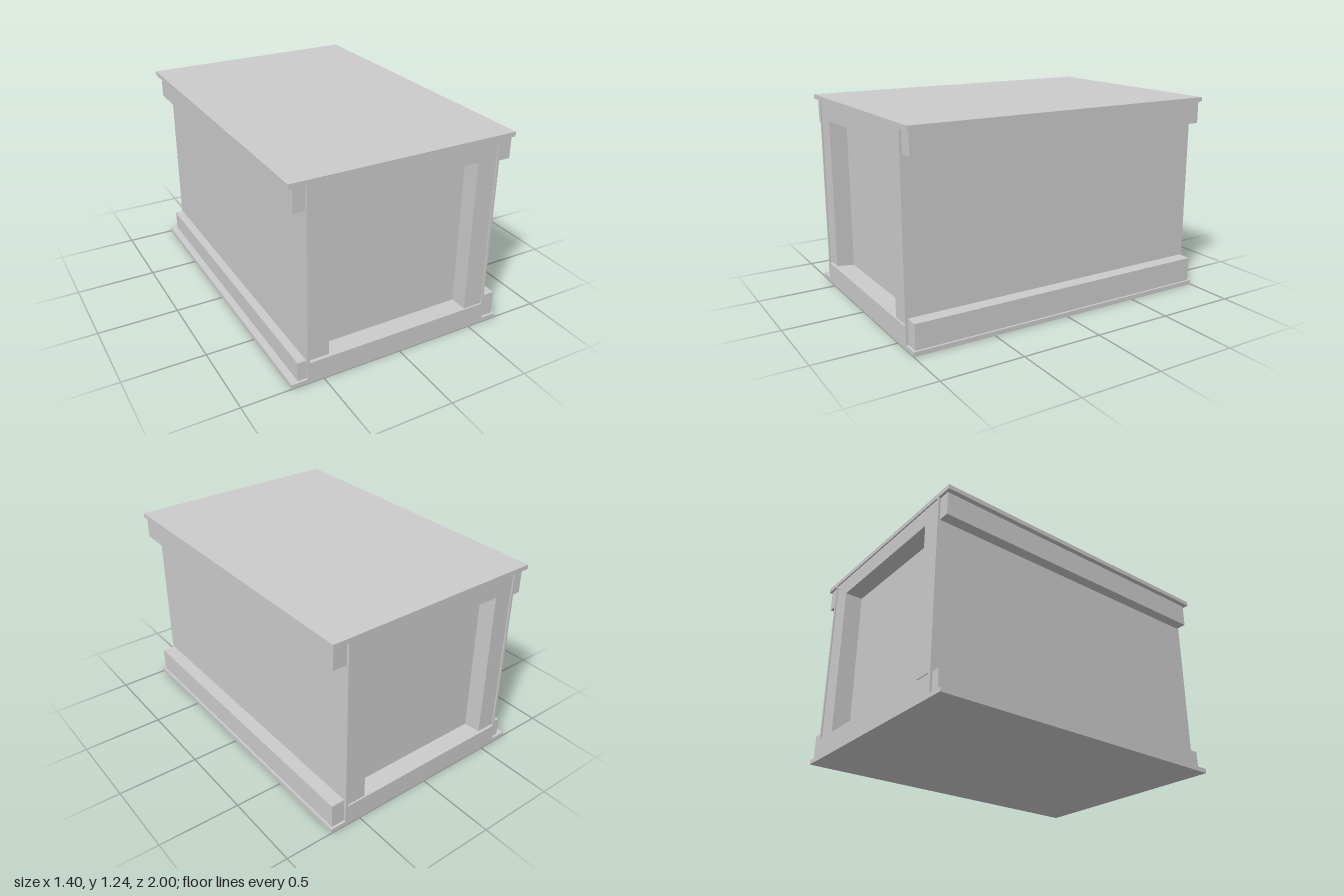
import * as THREE from 'three';

export function createModel() {
  const group = new THREE.Group();
  group.name = 'crate';
  const material = new THREE.MeshStandardMaterial({ color: 0xcccccc, flatShading: true });

  // Box given by its minimum and maximum along each axis
  function box(name, [x0, x1], [y0, y1], [z0, z1], parent = group) {
    const mesh = new THREE.Mesh(new THREE.BoxGeometry(x1 - x0, y1 - y0, z1 - z0), material);
    mesh.position.set((x0 + x1) / 2, (y0 + y1) / 2, (z0 + z1) / 2);
    mesh.name = name;
    parent.add(mesh);
    return mesh;
  }

  // Lid and base slabs
  box('lid', [-0.7, 0.7], [1.207, 1.235], [-1, 1]);
  box('base', [-0.7, 0.7], [0, 0.028], [-1, 1]);

  // Thin side walls
  for (const s of [-1, 1]) {
    const x = [s * 0.588, s * 0.602].sort((a, b) => a - b);
    box(s > 0 ? 'leftWall' : 'rightWall', x, [0.028, 1.207], [-1, 1]);
  }

  // Long rails along the walls, hand-cut to slightly different sizes
  const railZ = [-0.985, 0.985];
  box('leftUpperRail', [0.602, 0.687], [1.073, 1.207], railZ);
  box('leftLowerRail', [0.602, 0.687], [0.028, 0.18], railZ);
  box('rightUpperRail', [-0.67, -0.602], [1.062, 1.207], railZ);
  box('rightLowerRail', [-0.655, -0.602], [0.028, 0.148], railZ);

  // Framed, recessed panel at each end
  for (const end of ['front', 'back']) {
    const frame = new THREE.Group();
    frame.name = end + 'Frame';
    const s = end === 'front' ? 1 : -1;
    const depth = (a, b) => (s > 0 ? [a, b] : [-b, -a]);
    box(end + 'Panel', [-0.588, 0.588], [0.028, 1.207], depth(0.86, 0.88), frame);
    box(end + 'TopRail', [-0.588, 0.588], [1.096, 1.207], depth(0.88, 0.992), frame);
    box(end + 'BottomRail', [-0.588, 0.588], [0.028, 0.135], depth(0.88, 1), frame);
    box(end + 'LeftPost', [0.462, 0.586], [0.137, 1.096], depth(0.88, 0.992), frame);
    const post = box(end + 'RightPost', [-0.586, -0.464], [0.135, 1.096], depth(0.88, 0.992), frame);

    // The foot of this post is cut at a slight slant
    const p = post.geometry.attributes.position;
    for (let i = 0; i < p.count; i++) {
      if (p.getY(i) < 0 && p.getZ(i) * s > 0) p.setY(i, p.getY(i) + 0.012);
    }
    post.geometry.computeVertexNormals();
    group.add(frame);
  }
  return group;
}
